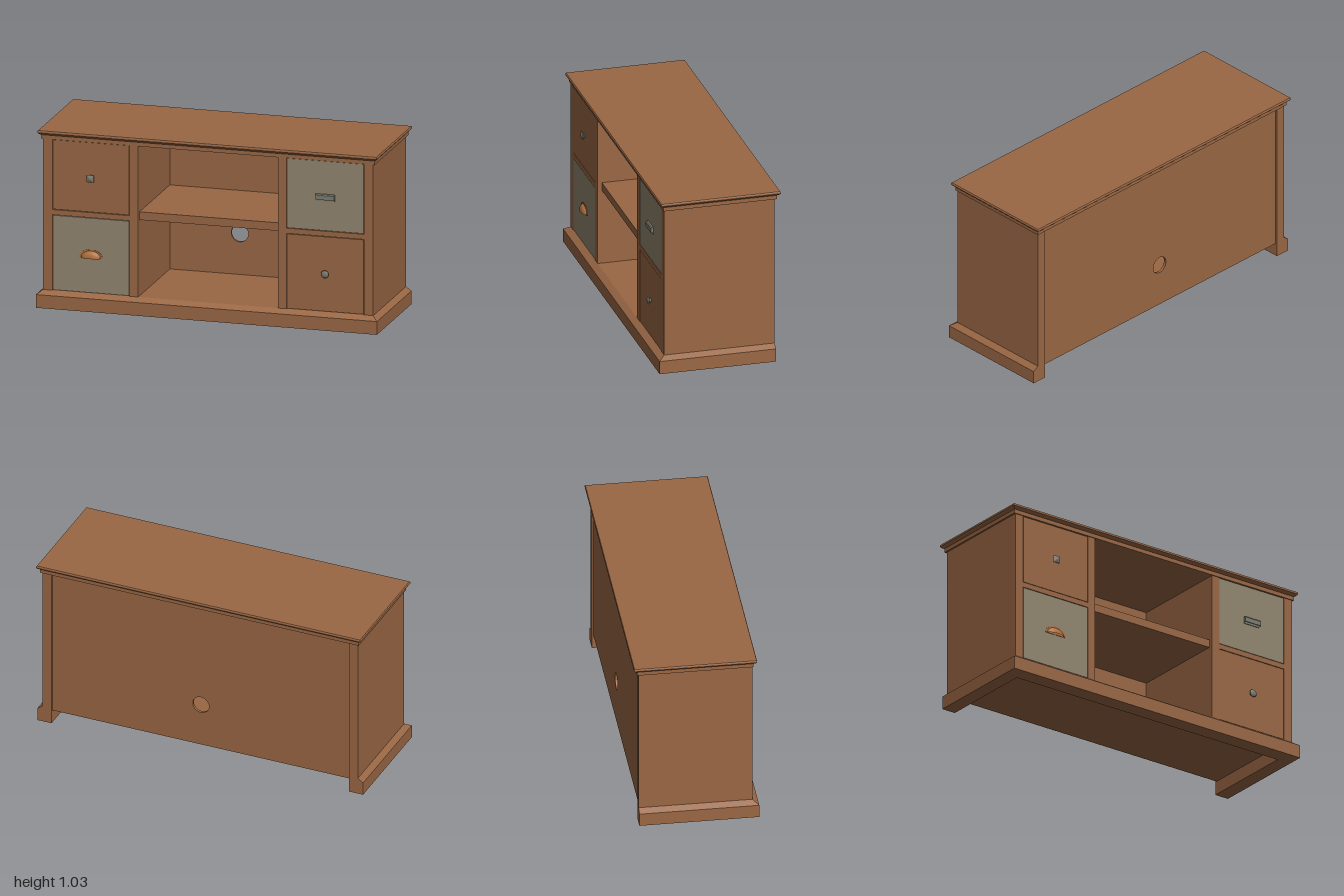
import * as THREE from 'three';

const wood = new THREE.MeshStandardMaterial({ color: 0x9a6744, name: 'brown wood' });
const greyPaint = new THREE.MeshStandardMaterial({ color: 0x91856f, name: 'grey paint' });
const metal = new THREE.MeshStandardMaterial({ color: 0x7c7c70, name: 'grey metal' });
const copper = new THREE.MeshStandardMaterial({ color: 0xb0703f, name: 'copper', side: THREE.DoubleSide });

function add(parent, name, geometry, material, x = 0, y = 0, z = 0) {
  const mesh = new THREE.Mesh(geometry, material);
  mesh.name = name;
  mesh.position.set(x, y, z);
  parent.add(mesh);
  return mesh;
}

// Box given by its limits on each axis
function box(parent, name, material, x0, x1, y0, y1, z0, z1) {
  return add(parent, name, new THREE.BoxGeometry(x1 - x0, y1 - y0, z1 - z0), material,
    (x0 + x1) / 2, (y0 + y1) / 2, (z0 + z1) / 2);
}

// Flat-shaded solid joining equal-sized rings of [x, y, z], capped at both ends
function loft(rings) {
  const tris = [];
  const n = rings[0].length;
  for (let i = 0; i + 1 < rings.length; i++) {
    for (let j = 0; j < n; j++) {
      const k = (j + 1) % n;
      const [a, b, c, d] = [rings[i][j], rings[i][k], rings[i + 1][k], rings[i + 1][j]];
      tris.push([a, b, c], [a, c, d]);
    }
  }
  const last = rings[rings.length - 1];
  for (let j = 1; j + 1 < n; j++) {
    tris.push([rings[0][0], rings[0][j + 1], rings[0][j]], [last[0], last[j], last[j + 1]]);
  }
  // Turn the faces outward if the enclosed volume is negative
  const v = (p) => new THREE.Vector3(...p);
  const volume = tris.reduce((s, [a, b, c]) => s + v(a).dot(v(b).cross(v(c))), 0);
  if (volume < 0) tris.forEach((t) => t.reverse());
  const geometry = new THREE.BufferGeometry();
  geometry.setAttribute('position', new THREE.Float32BufferAttribute(tris.flat(2), 3));
  geometry.computeVertexNormals();
  return geometry;
}

function extrude(points, depth) {
  const shape = new THREE.Shape(points.map(([x, y]) => new THREE.Vector2(x, y)));
  return new THREE.ExtrudeGeometry(shape, { depth, bevelEnabled: false });
}

function makeCarcass() {
  const g = new THREE.Group();
  g.name = 'carcass';

  // Moulded top: height, half width, back, front
  const profile = [
    [0.98, 0.978, -0.335, 0.326], [1.003, 0.978, -0.335, 0.326], [1.007, 0.985, -0.343, 0.333],
    [1.012, 0.991, -0.349, 0.338], [1.017, 0.995, -0.354, 0.344], [1.025, 0.995, -0.354, 0.344],
    [1.03, 0.992, -0.351, 0.341],
  ];
  add(g, 'top', loft(profile.map(([y, w, b, f]) => [[-w, y, b], [w, y, b], [w, y, f], [-w, y, f]])), wood);

  // Plinth around the front and sides, open at the back
  const section = [[-0.055, 0], [0.032, 0], [0.032, 0.077], [0.0, 0.1], [-0.055, 0.1]];
  const path = [[-1, -0.325, 0], [-1, 0.32, 1], [1, 0.32, 1], [1, -0.325, 0]];
  add(g, 'plinth', loft(path.map(([side, z, corner]) =>
    section.map(([o, y]) => [side * (0.968 + o), y, z + corner * o * 1.1]))), wood);

  box(g, 'floor', wood, -0.913, 0.913, 0.08, 0.1, -0.3, 0.26);
  for (const s of [-1, 1]) {
    const x = s * 0.9405;
    box(g, 'sidePanel', wood, x - 0.0275, x + 0.0275, 0.1, 0.98, -0.325, 0.32);
    const d = s * 0.435;
    box(g, 'divider', wood, d - 0.025, d + 0.025, 0.1, 0.98, -0.3, 0.32);
    const r = s * 0.6865;
    box(g, 'drawerRail', wood, r - 0.2265, r + 0.2265, 0.54, 0.57, -0.3, 0.32);
  }
  box(g, 'shelf', wood, -0.41, 0.41, 0.543, 0.59, -0.3, 0.295);

  // Back panel with a round cable hole
  const back = new THREE.Shape();
  back.moveTo(-0.913, 0.08).lineTo(0.913, 0.08).lineTo(0.913, 0.98).lineTo(-0.913, 0.98).closePath();
  back.holes.push(new THREE.Path().absarc(0, 0.34, 0.05, 0, Math.PI * 2, true));
  add(g, 'backPanel', new THREE.ExtrudeGeometry(back, { depth: 0.015, bevelEnabled: false, curveSegments: 16 }),
    wood, 0, 0, -0.315);
  return g;
}

function makeSquareKnob() {
  const g = new THREE.Group();
  g.name = 'squareKnob';
  box(g, 'knobStem', metal, -0.01, 0.01, -0.01, 0.01, 0, 0.01);
  const ring = (r, z) => [[-r, -r, z], [r, -r, z], [r, r, z], [-r, r, z]];
  add(g, 'knobHead', loft([ring(0.014, 0.007), ring(0.021, 0.011), ring(0.021, 0.014), ring(0.004, 0.021)]), metal);
  return g;
}

function makeRoundKnob() {
  const g = new THREE.Group();
  g.name = 'roundKnob';
  const points = [[0, 0], [0.013, 0], [0.01, 0.008], [0.02, 0.011], [0.023, 0.014], [0.02, 0.018], [0.011, 0.021], [0, 0.022]];
  const head = new THREE.LatheGeometry(points.map((p) => new THREE.Vector2(...p)), 20);
  add(g, 'knobHead', head.rotateX(Math.PI / 2), metal);
  return g;
}

function makeBarPull() {
  const g = new THREE.Group();
  g.name = 'barPull';
  // Hooked section, extruded along the drawer
  const hook = [[0, -0.021], [0.004, -0.021], [0.004, 0.012], [0.011, 0.012], [0.011, -0.012], [0.015, -0.012], [0.015, 0.014], [0.01, 0.02], [0, 0.02]];
  add(g, 'pullBar', extrude(hook, 0.11).rotateY(-Math.PI / 2).translate(0.055, 0, 0), metal);
  for (const s of [-1, 1]) box(g, 'pullEnd', metal, s * 0.053 - 0.002, s * 0.053 + 0.002, -0.012, 0.014, 0, 0.015);
  return g;
}

function makeCupPull() {
  const g = new THREE.Group();
  g.name = 'cupPull';
  const dome = new THREE.SphereGeometry(1, 20, 8, 0, Math.PI, 0, Math.PI / 2).scale(0.058, 0.042, 0.025);
  add(g, 'cup', dome, copper);
  // Scalloped plate behind the cup
  const rim = [];
  for (let i = 0; i <= 36; i++) {
    const a = (i / 36) * Math.PI;
    const r = 1 + 0.05 * Math.abs(Math.sin(a * 9));
    rim.push([0.067 * r * Math.cos(a), 0.048 * r * Math.sin(a)]);
  }
  add(g, 'cupPlate', extrude(rim, 0.003), copper);
  return g;
}

export function createModel() {
  const model = new THREE.Group();
  model.name = 'mediaCabinet';
  model.add(makeCarcass());

  // Drawers, each with its own handle: side, bottom, top, colour, handle, handle height
  const drawers = [
    [-1, 0.57, 0.98, wood, makeSquareKnob(), 0.77],
    [1, 0.57, 0.98, greyPaint, makeBarPull(), 0.766],
    [-1, 0.1, 0.54, greyPaint, makeCupPull(), 0.305],
    [1, 0.1, 0.54, wood, makeRoundKnob(), 0.322],
  ];
  const gap = 0.003;
  for (const [s, y0, y1, material, handle, y] of drawers) {
    const x = s * 0.6865;
    box(model, 'drawer', material, x - 0.2265 + gap, x + 0.2265 - gap, y0 + gap, y1 - gap, -0.28, 0.319);
    handle.position.set(s * 0.688, y, 0.319);
    model.add(handle);
  }
  return model;
}
